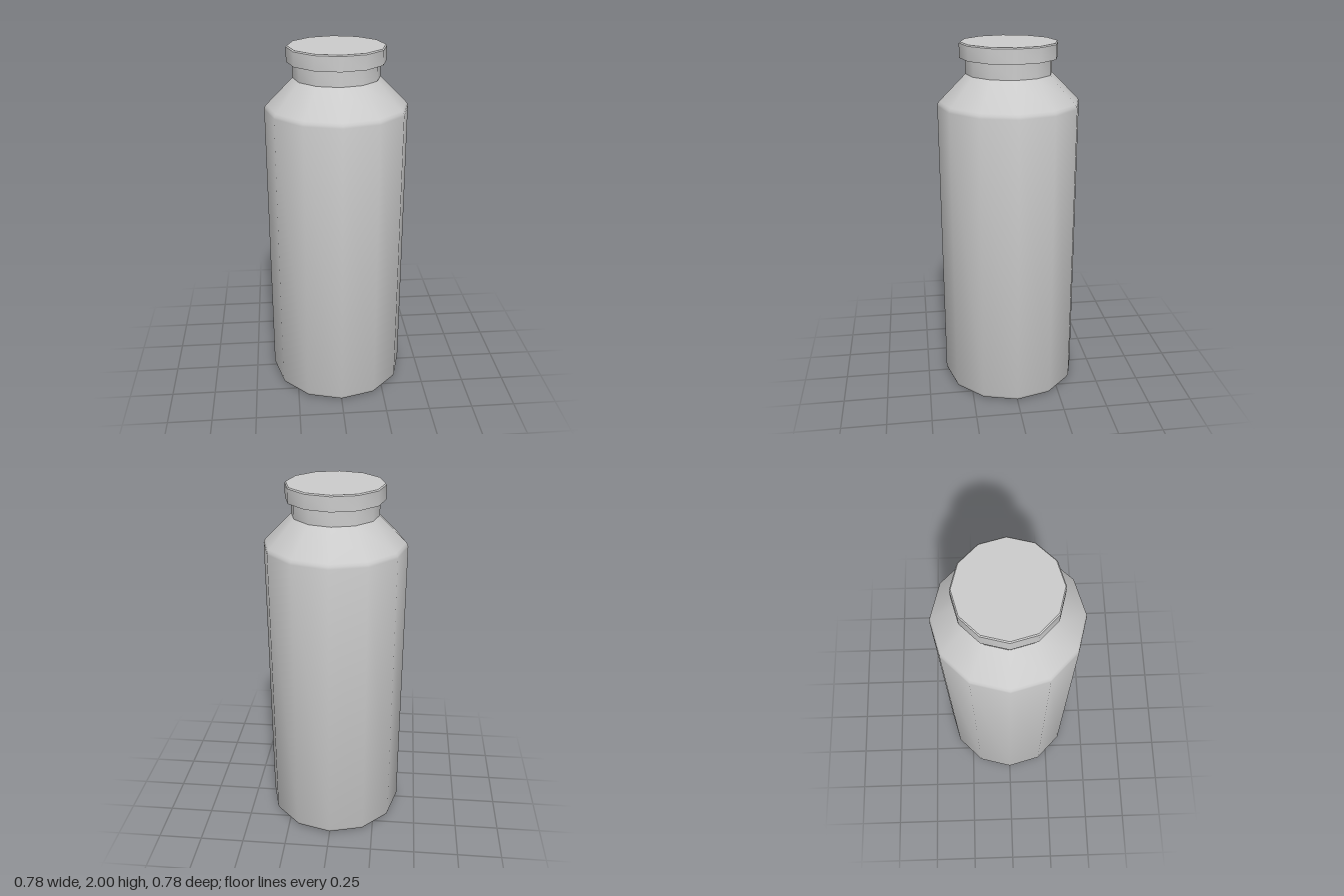
import * as THREE from 'three';
import { toCreasedNormals } from 'three/addons/utils/BufferGeometryUtils.js';

const SIDES = 12;
const material = new THREE.MeshStandardMaterial({ color: 0xcccccc });

// Twelve-sided turned part from a bottom-to-top [radius, height] profile
function turned(name, profile) {
  const points = profile.map(([r, y]) => new THREE.Vector2(r, y));
  const geometry = toCreasedNormals(new THREE.LatheGeometry(points, SIDES), THREE.MathUtils.degToRad(40));
  const mesh = new THREE.Mesh(geometry, material);
  mesh.name = name;
  return mesh;
}

export function createModel() {
  const group = new THREE.Group();
  group.name = 'bottle';

  // Body with softened base edge, sloping shoulder and straight neck
  group.add(turned('body', [
    [0, 0], [0.355, 0], [0.365, 0], [0.382, 0.01], [0.39, 0.03],
    [0.39, 1.665], [0.387, 1.678], [0.378, 1.69],
    [0.235, 1.833], [0.235, 1.92],
  ]));

  // Overhanging cap with a fine bevel around the top
  group.add(turned('cap', [
    [0.235, 1.917], [0.266, 1.917], [0.266, 1.994], [0.26, 2], [0, 2],
  ]));

  return group;
}
